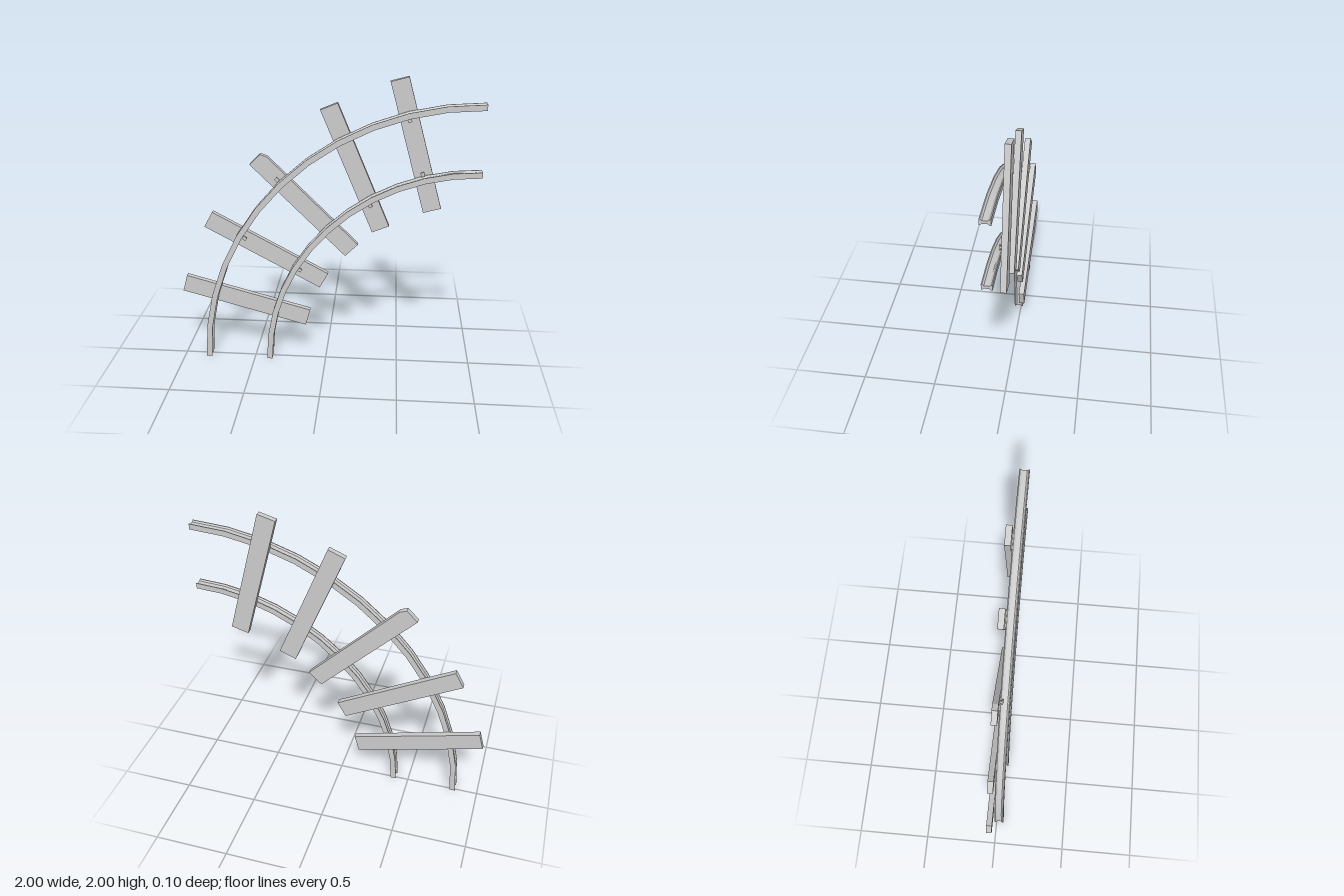
import * as THREE from 'three';
import { toCreasedNormals } from 'three/addons/utils/BufferGeometryUtils.js';

const material = new THREE.MeshStandardMaterial({ color: 0xcccccc });
const capMaterial = new THREE.MeshStandardMaterial({ color: 0xcccccc, side: THREE.DoubleSide });

// Waisted rail section as [half width, z], from foot to head
const SECTION = [[0.019, -0.014], [0.019, -0.008], [0.01, 0.004], [0.009, 0.02], [0.01, 0.034], [0.019, 0.044], [0.019, 0.05]];

// Quarter-circle rail around the point (1, 0)
function makeRail(name, radius) {
  const rail = new THREE.Group();
  rail.name = name;
  const outer = SECTION.map(([w, z]) => new THREE.Vector2(radius + w, z));
  const inner = SECTION.map(([w, z]) => new THREE.Vector2(radius - w, z)).reverse();
  const profile = [...outer, ...inner];
  const sweep = new THREE.LatheGeometry([...profile, profile[0].clone()], 12, Math.PI, Math.PI / 2);
  sweep.rotateX(Math.PI / 2);
  const body = new THREE.Mesh(toCreasedNormals(sweep, 0.5), material);
  body.name = name + 'Body';
  rail.add(body);

  // Flat end caps
  const toEnd = new THREE.Matrix4().makeBasis(
    new THREE.Vector3(0, 1, 0), new THREE.Vector3(0, 0, 1), new THREE.Vector3(1, 0, 0));
  for (const turn of [0, Math.PI / 2]) {
    const cap = new THREE.ShapeGeometry(new THREE.Shape(profile)).applyMatrix4(toEnd).rotateZ(turn);
    const mesh = new THREE.Mesh(cap, capMaterial);
    mesh.name = name + 'End';
    rail.add(mesh);
  }
  rail.position.x = 1;
  return rail;
}

// Wooden sleeper; chip cuts off one top corner
function makeSleeper([x, y, degrees, chip]) {
  const l = 0.445, w = 0.06, depth = 0.038;
  const shape = new THREE.Shape();
  shape.moveTo(-l, -w);
  shape.lineTo(l, -w);
  shape.lineTo(l, w);
  if (chip) {
    shape.lineTo(-l + 0.045, w);
    shape.lineTo(-l, w - 0.02);
  } else shape.lineTo(-l, w);
  const geometry = new THREE.ExtrudeGeometry(shape, { depth, bevelEnabled: false });
  const mesh = new THREE.Mesh(geometry, material);
  mesh.name = 'sleeper';
  mesh.position.set(x, y, -0.052);
  mesh.rotation.z = THREE.MathUtils.degToRad(degrees);
  return mesh;
}

// Small spike: shank with a square head beside the rail
function makeSpike([x, y]) {
  const spike = new THREE.Group();
  spike.name = 'spike';
  const shank = new THREE.Mesh(new THREE.BoxGeometry(0.014, 0.014, 0.03), material);
  shank.name = 'spikeShank';
  shank.position.z = -0.01;
  const head = new THREE.Mesh(new THREE.BoxGeometry(0.028, 0.024, 0.01), material);
  head.name = 'spikeHead';
  head.position.z = 0.002;
  spike.add(shank, head);
  spike.position.set(x, y, 0);
  spike.rotation.z = Math.atan2(y, x - 1);
  return spike;
}

export function createModel() {
  const model = new THREE.Group();
  model.name = 'curvedTrack';
  model.add(makeRail('outerRail', 1.827), makeRail('innerRail', 1.393));

  // Sleepers: x, y, angle, chipped corner
  const sleepers = [
    [-0.555, 0.421, -15.2],
    [-0.405, 0.805, -28.5],
    [-0.143, 1.138, -44.8, true],
    [0.191, 1.393, -67.2],
    [0.578, 1.553, -74.6],
  ];
  sleepers.forEach((s) => model.add(makeSleeper(s)));

  // Remaining spikes
  const spikes = [[-0.32, 1.315], [-0.55, 0.895], [-0.18, 0.675], [0.29, 1.155], [0.53, 1.73], [0.625, 1.375]];
  spikes.forEach((s) => model.add(makeSpike(s)));
  return model;
}
